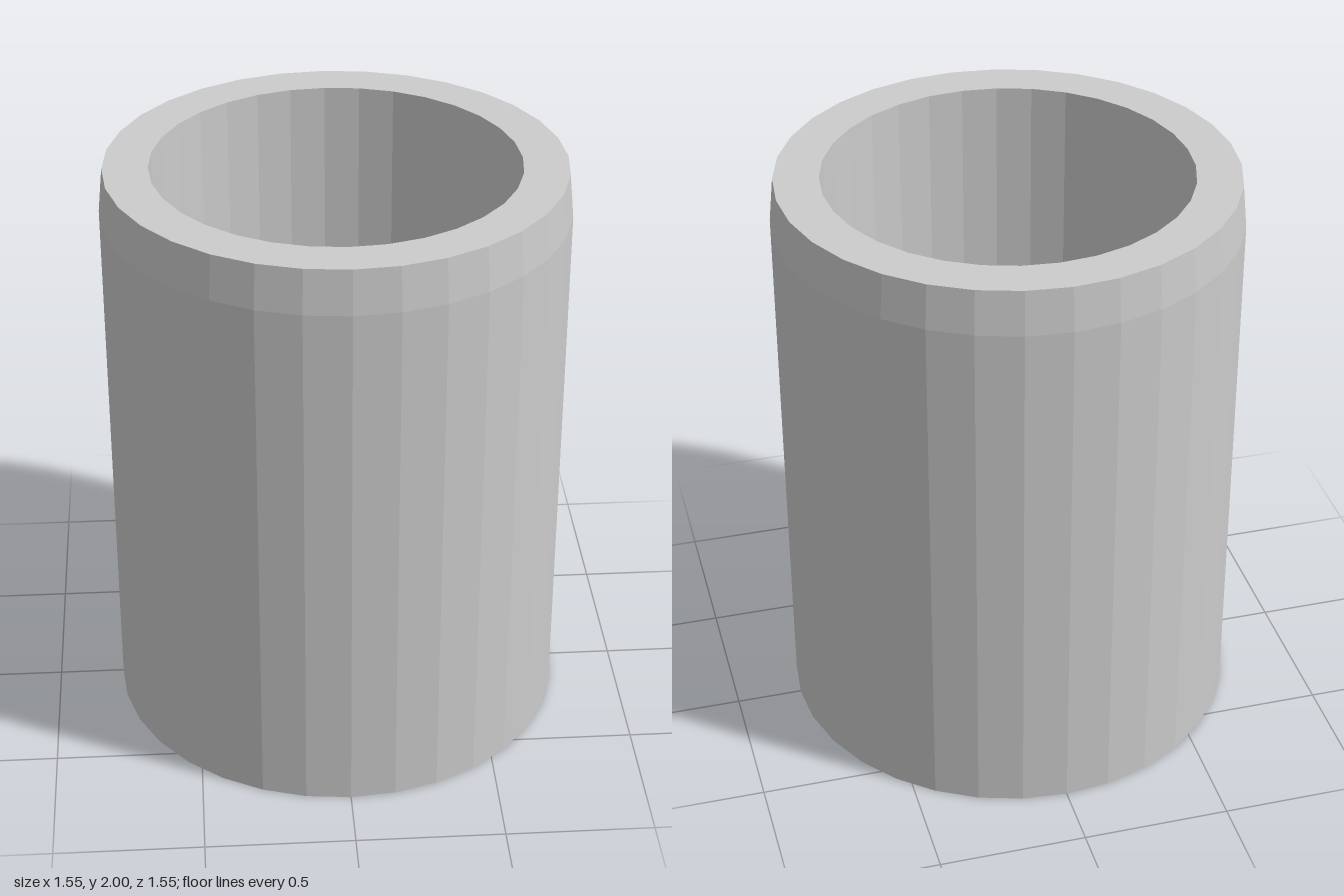
import * as THREE from 'three';

const SIDES = 32;

export function createModel() {
  const group = new THREE.Group();
  group.name = 'cup';
  const material = new THREE.MeshStandardMaterial({ color: 0xcccccc, flatShading: true });

  // Revolve a profile of [radius, height] pairs around the y axis
  const addLathe = (name, profile) => {
    const points = profile.map(([r, y]) => new THREE.Vector2(r, y));
    const mesh = new THREE.Mesh(new THREE.LatheGeometry(points, SIDES), material);
    mesh.name = name;
    group.add(mesh);
  };

  // Closed base and straight outer wall with a slight taper below the rim
  addLathe('outerWall', [[0, 0], [0.775, 0], [0.775, 1.85], [0.76, 2]]);
  // Flat ring around the opening
  addLathe('rim', [[0.76, 2], [0.61, 2]]);
  // Straight bore down to a flat floor
  addLathe('innerWall', [[0.61, 2], [0.61, 0.15], [0, 0.15]]);

  return group;
}
